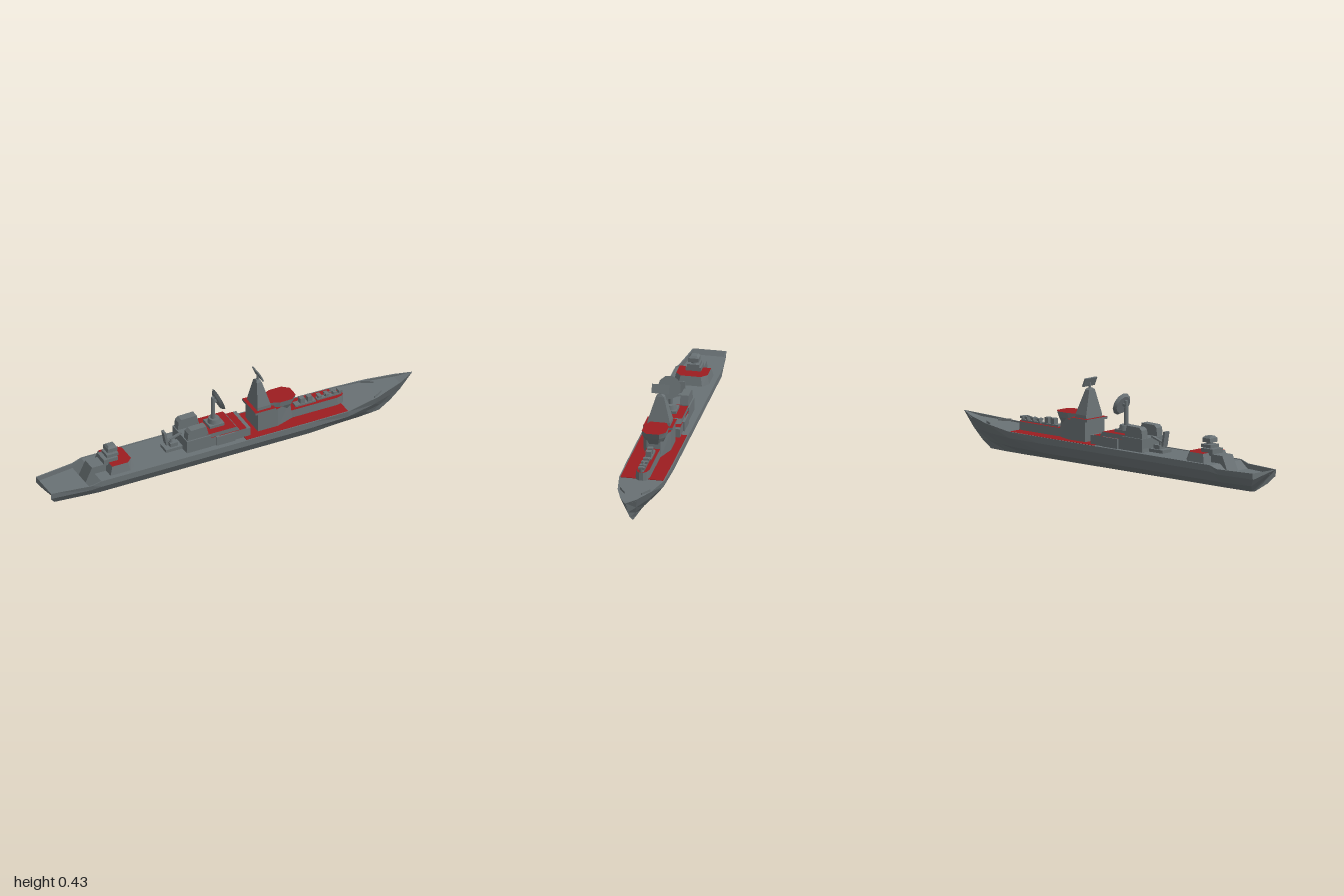
import * as THREE from 'three';

const grey = new THREE.MeshStandardMaterial({ color: 0x697174 });
grey.name = 'hull grey';
const red = new THREE.MeshStandardMaterial({ color: 0x9c1d20 });
red.name = 'deck red';

// Skin through closed rings of points; the last ring's cap is material group 1
function loft(rings) {
  const pos = [], n = rings[0].length, last = rings[rings.length - 1];
  const tri = (a, b, c) => pos.push(...a, ...b, ...c);
  for (let i = 0; i < rings.length - 1; i++) {
    for (let j = 0; j < n; j++) {
      const k = (j + 1) % n, p = rings[i], q = rings[i + 1];
      tri(p[j], p[k], q[k]);
      tri(p[j], q[k], q[j]);
    }
  }
  for (let j = 1; j < n - 1; j++) tri(rings[0][0], rings[0][j + 1], rings[0][j]);
  const split = pos.length / 3;
  for (let j = 1; j < n - 1; j++) tri(last[0], last[j], last[j + 1]);
  const g = new THREE.BufferGeometry();
  g.setAttribute('position', new THREE.Float32BufferAttribute(pos, 3));
  g.addGroup(0, split, 0);
  g.addGroup(split, pos.length / 3 - split, 1);
  g.computeVertexNormals();
  return g;
}

export function createModel() {
  const ship = new THREE.Group();
  ship.name = 'warship';

  const add = (name, geo, mat = grey, x = 0, y = 0, z = 0) => {
    const m = new THREE.Mesh(geo, mat);
    m.name = name;
    m.position.set(x, y, z);
    ship.add(m);
    return m;
  };
  // Box given by its limits
  const box = (name, x0, x1, y0, y1, z0, z1, mat) =>
    add(name, new THREE.BoxGeometry(x1 - x0, y1 - y0, z1 - z0), mat,
      (x0 + x1) / 2, (y0 + y1) / 2, (z0 + z1) / 2);
  // Mirrored block from levels [y, half plan of [x, z] running aft to fore]
  const block = (name, levels, roof = grey) => add(name, loft(levels.map(([y, half]) => [
    ...half.map(([x, z]) => [x, y, z]),
    ...half.slice().reverse().map(([x, z]) => [x, y, -z]),
  ])), [grey, roof]);
  // Side profile extruded across the ship
  const profile = (name, pts, z0, z1) => add(name, new THREE.ExtrudeGeometry(
    new THREE.Shape(pts.map(p => new THREE.Vector2(...p))),
    { depth: z1 - z0, bevelEnabled: false }), grey, 0, 0, z0);
  const rod = (name, x, y0, y1, r0, r1, sides = 8) =>
    add(name, new THREE.CylinderGeometry(r1, r0, y1 - y0, sides).toNonIndexed(), grey, x, (y0 + y1) / 2);

  // Hull stations: deck edge, knuckle, bilge, keel as [x, y, half width], then deck recess
  const mid = x => [[x, 0.122, 0.115], [x, 0.09, 0.115], [x, 0.04, 0.085], [x, 0, 0.015], 0.003];
  const stations = [
    [[-1, 0.107, 0.083], [-1, 0.075, 0.081], [-0.97, 0.038, 0.06], [-0.93, 0, 0.012], 0],
    [[-0.985, 0.107, 0.085], [-0.985, 0.077, 0.083], [-0.95, 0.038, 0.062], [-0.91, 0, 0.012], 0.025],
    [[-0.79, 0.107, 0.111], [-0.79, 0.08, 0.106], [-0.79, 0.038, 0.078], [-0.79, 0, 0.015], 0.025],
    mid(-0.74), mid(0.4),
    [[0.6, 0.123, 0.113], [0.6, 0.09, 0.108], [0.59, 0.04, 0.07], [0.57, 0, 0.015], 0.003],
    [[0.78, 0.138, 0.083], [0.76, 0.09, 0.068], [0.73, 0.04, 0.04], [0.7, 0, 0.014], 0.008],
    [[0.92, 0.154, 0.04], [0.87, 0.09, 0.028], [0.82, 0.04, 0.014], [0.77, 0, 0.008], 0.012],
    [[1, 0.166, 0.002], [0.935, 0.09, 0.002], [0.88, 0.04, 0.002], [0.82, 0, 0.002], 0],
  ];
  add('hull', loft(stations.map(s => {
    const outer = s.slice(0, 4), [x, y, z] = s[0], inner = Math.max(z - 0.006, z * 0.5);
    const flip = p => [p[0], p[1], -p[2]];
    const lip = [x, y, inner], floor = [x, y - s[4], inner];
    return [...outer, ...outer.slice().reverse().map(flip), flip(lip), flip(floor), floor, lip];
  })), [grey, grey]);

  // Forecastle breakwater
  for (const s of [-1, 1]) {
    const w = add('breakwater', new THREE.BoxGeometry(0.065, 0.012, 0.004), grey, 0.785, 0.137, s * 0.058);
    w.rotation.y = s * 0.55;
  }

  // Painted main deck
  box('redDeck', 0.05, 0.6, 0.117, 0.1225, -0.108, 0.108, red);

  // Aft house with its ramp and mount
  profile('aftRamp', [[-0.79, 0.083], [-0.68, 0.083], [-0.68, 0.158], [-0.755, 0.158]], -0.037, 0.037);
  block('aftHouse', [
    [0.115, [[-0.68, 0.088], [-0.57, 0.088], [-0.535, 0.06]]],
    [0.163, [[-0.665, 0.078], [-0.58, 0.078], [-0.55, 0.05]]],
  ], red);
  box('aftHousePedestal', -0.69, -0.615, 0.15, 0.182, -0.038, 0.038);
  rod('aftMountBase', -0.637, 0.18, 0.2, 0.02, 0.02, 10);
  box('aftMountBody', -0.67, -0.608, 0.184, 0.2, -0.03, 0.03);
  rod('aftMountNeck', -0.637, 0.2, 0.212, 0.016, 0.016, 10);
  block('aftMountHead', [
    [0.21, [[-0.665, 0.026], [-0.612, 0.026]]],
    [0.23, [[-0.663, 0.026], [-0.612, 0.026]]],
    [0.24, [[-0.655, 0.015], [-0.622, 0.015]]],
  ]);

  // Stern-facing crane
  box('cranePlatform', -0.35, -0.25, 0.115, 0.135, -0.032, 0.032);
  box('craneBase', -0.32, -0.28, 0.135, 0.155, -0.02, 0.02);
  rod('cranePost', -0.31, 0.13, 0.175, 0.01, 0.008);
  const jib = box('craneJib', -0.347, -0.335, 0.15, 0.225, -0.016, 0.016);
  jib.rotation.z = 0.18;
  const arm = box('craneArm', -0.34, -0.25, 0.172, 0.18, -0.006, 0.006);
  arm.rotation.z = 0.3;

  // Midships house and twin funnels
  box('funnelBase', -0.26, -0.13, 0.115, 0.185, -0.08, 0.08);
  for (const s of [-1, 1]) {
    profile('funnel', [[-0.262, 0.12], [-0.14, 0.12], [-0.14, 0.195], [-0.152, 0.24], [-0.235, 0.238], [-0.25, 0.225]],
      s * 0.053 - 0.02, s * 0.053 + 0.02);
    box('sideLocker', -0.1, 0, 0.118, 0.168, s * 0.08 - 0.006, s * 0.08 + 0.006);
  }
  block('midHouse', [
    [0.115, [[-0.15, 0.078], [0.085, 0.078]]],
    [0.168, [[-0.15, 0.078], [0.065, 0.078]]],
  ], red);
  block('midHouseUpper', [
    [0.165, [[-0.15, 0.074], [0.03, 0.074]]],
    [0.19, [[-0.15, 0.074], [0.01, 0.074]]],
  ], red);
  box('midHouseBulkhead', 0.055, 0.085, 0.118, 0.166, -0.08, 0.08);

  // Air search dish on its post
  box('dishPlinth', -0.115, -0.035, 0.188, 0.204, -0.036, 0.036);
  rod('dishPedestal', -0.075, 0.2, 0.226, 0.034, 0.028, 10);
  rod('dishPost', -0.08, 0.22, 0.345, 0.012, 0.009);
  const dish = add('radarDish', new THREE.CylinderGeometry(0.058, 0.045, 0.014, 11).toNonIndexed(),
    grey, -0.054, 0.322);
  dish.rotation.z = -1.23;
  const bracket = box('dishBracket', -0.085, -0.05, 0.316, 0.328, -0.008, 0.008);
  bracket.rotation.z = 0.3;

  // Forward superstructure: tower, mast platform and overhanging bridge
  block('tower', [
    [0.115, [[0.13, 0.068], [0.24, 0.068], [0.335, 0.035]]],
    [0.222, [[0.13, 0.068], [0.24, 0.068], [0.32, 0.035]]],
  ], red);
  block('mastPlatform', [
    [0.222, [[0.115, 0.073], [0.225, 0.073]]],
    [0.234, [[0.115, 0.073], [0.225, 0.073]]],
  ], red);
  block('bridge', [
    [0.185, [[0.2, 0.03], [0.26, 0.04], [0.3, 0.04], [0.325, 0.022]]],
    [0.222, [[0.2, 0.038], [0.255, 0.057], [0.315, 0.057], [0.343, 0.03]]],
    [0.25, [[0.2, 0.038], [0.255, 0.06], [0.32, 0.06], [0.353, 0.032]]],
  ], red);

  // Pyramid mast with its tilted antenna
  block('mast', [
    [0.232, [[0.133, 0.057], [0.208, 0.057]]],
    [0.25, [[0.135, 0.056], [0.206, 0.056]]],
    [0.37, [[0.148, 0.02], [0.175, 0.02]]],
    [0.38, [[0.152, 0.008], [0.17, 0.008]]],
  ]);
  rod('antennaPost', 0.163, 0.375, 0.405, 0.006, 0.005);
  const panel = add('antennaPanel', new THREE.BoxGeometry(0.007, 0.045, 0.085), grey, 0.164, 0.408);
  panel.rotation.z = 0.4;

  // Forward deckhouse
  block('foreDeckhouse', [
    [0.115, [[0.3, 0.036], [0.58, 0.036], [0.61, 0.026], [0.622, 0.01]]],
    [0.163, [[0.3, 0.033], [0.58, 0.033], [0.608, 0.024], [0.62, 0.01]]],
  ], red);
  box('weaponBase', 0.36, 0.47, 0.16, 0.172, -0.018, 0.018);
  for (const x of [0.4, 0.44]) box('launcher', x - 0.012, x + 0.012, 0.168, 0.2, -0.014, 0.014);
  box('magazineStrip', 0.48, 0.6, 0.16, 0.17, -0.012, 0.012);
  for (const x of [0.495, 0.535, 0.575, 0.605]) {
    rod('mountPedestal', x, 0.16, 0.182, 0.012, 0.01);
    box('mountHead', x - 0.009, x + 0.009, 0.176, 0.187, -0.016, 0.016);
  }
  const barrel = rod('gunBarrel', 0.55, 0.155, 0.215, 0.004, 0.003, 6);
  barrel.rotation.z = -1.4;

  return ship;
}
